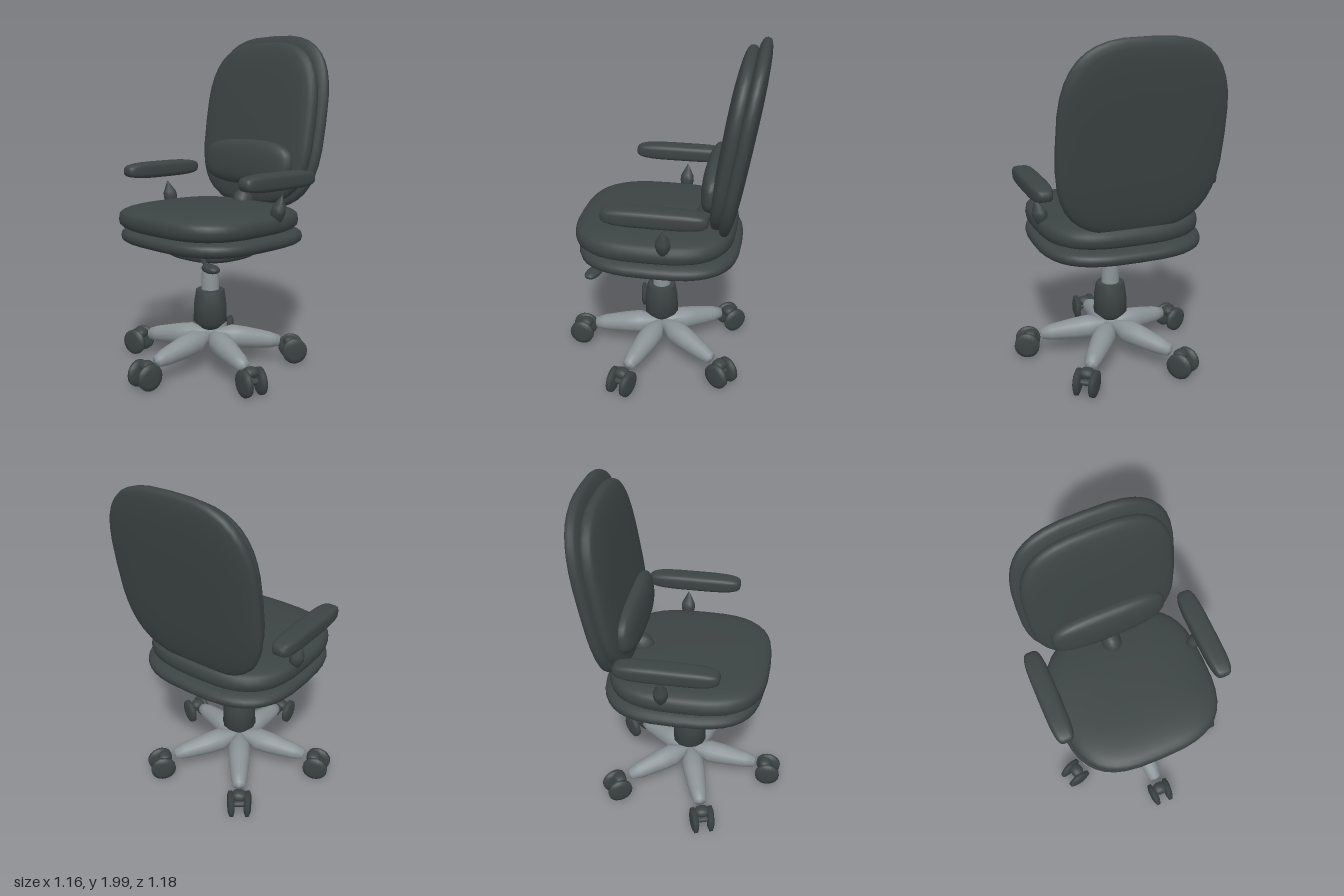
import * as THREE from 'three';
import { mergeVertices } from 'three/addons/utils/BufferGeometryUtils.js';

const dark = new THREE.MeshStandardMaterial({ name: 'charcoal', color: 0x3c4343 });
const grey = new THREE.MeshStandardMaterial({ name: 'metalGrey', color: 0x8a9296 });

const spow = (v, p) => Math.sign(v) * Math.abs(v) ** p;

// Rounded cushion: half sizes a, b (thickness along y), c; n shapes the outline, m the edge
function pillow(a, b, c, n = 3, m = 3.5, seg = 40, rings = 18) {
  let g = new THREE.SphereGeometry(1, seg, rings);
  const p = g.attributes.position;
  for (let i = 0; i < p.count; i++) {
    const y = p.getY(i);
    const r = Math.hypot(p.getX(i), p.getZ(i));
    const t = Math.atan2(p.getZ(i), p.getX(i));
    const rho = r < 1e-6 ? 0 : r ** (2 / m);
    p.setXYZ(i, a * rho * spow(Math.cos(t), 2 / n), b * spow(y, 2 / m), c * rho * spow(Math.sin(t), 2 / n));
  }
  g.deleteAttribute('normal');
  g.deleteAttribute('uv');
  g = mergeVertices(g, 1e-5);
  g.computeVertexNormals();
  return g;
}

const lathe = (pts, seg = 12) => new THREE.LatheGeometry(pts.map(([r, y]) => new THREE.Vector2(r, y)), seg);

function add(parent, name, geometry, material, x = 0, y = 0, z = 0) {
  const mesh = new THREE.Mesh(geometry, material);
  mesh.name = name;
  mesh.position.set(x, y, z);
  parent.add(mesh);
  return mesh;
}

function createCaster() {
  const caster = new THREE.Group();
  caster.name = 'caster';
  for (const s of [-1, 1]) {
    const wheel = lathe([[0, -0.02], [0.05, -0.02], [0.077, -0.01], [0.077, 0.01], [0.05, 0.02], [0, 0.02]], 18);
    wheel.rotateZ(Math.PI / 2);
    const mesh = add(caster, 'wheel', wheel, dark, s * 0.05, 0.08, 0);
    mesh.rotation.y = -s * 0.08;
  }
  const axle = new THREE.CylinderGeometry(0.018, 0.018, 0.1, 10).rotateZ(Math.PI / 2);
  add(caster, 'axle', axle, dark, 0, 0.08, 0);
  add(caster, 'casterHood', pillow(0.045, 0.03, 0.04, 2.5, 2.2, 14, 8), dark, 0, 0.13, -0.02);
  return caster;
}

export function createModel() {
  const chair = new THREE.Group();
  chair.name = 'officeChair';

  // Five-legged base with twin-wheel casters
  const legGeo = lathe([[0, 0], [0.03, 0.03], [0.07, 0.13], [0.066, 0.22], [0.05, 0.37], [0.035, 0.43], [0, 0.44]], 14);
  legGeo.rotateX(Math.PI / 2 + 0.15);
  for (let i = 0; i < 5; i++) {
    const spoke = new THREE.Group();
    spoke.name = 'baseSpoke';
    spoke.rotation.y = (i * Math.PI * 2) / 5;
    add(spoke, 'baseLeg', legGeo, grey, 0, 0.2, 0);
    const caster = createCaster();
    caster.position.z = 0.517;
    spoke.add(caster);
    chair.add(spoke);
  }

  // Gas column
  add(chair, 'columnSleeve', lathe([[0, 0.235], [0.05, 0.24], [0.104, 0.29], [0.1, 0.4], [0.088, 0.475], [0.08, 0.482], [0, 0.482]], 12), dark);
  add(chair, 'column', lathe([[0.055, 0.46], [0.05, 0.6], [0.042, 0.64], [0.027, 0.67], [0.025, 0.7]], 16), grey);

  // Mechanism under the seat, with its lever
  add(chair, 'mechanism', pillow(0.25, 0.05, 0.24, 2.6, 3), dark, 0, 0.725, -0.01);
  const rodCurve = new THREE.LineCurve3(new THREE.Vector3(0.12, 0.755, 0.22), new THREE.Vector3(0.32, 0.72, 0.33));
  add(chair, 'leverRod', new THREE.TubeGeometry(rodCurve, 1, 0.012, 8), dark);
  const knob = add(chair, 'leverKnob', pillow(0.068, 0.022, 0.04, 2.3, 2.5, 16, 10), dark, 0.345, 0.72, 0.335);
  knob.rotation.y = -0.3;

  // Seat
  add(chair, 'seatBase', pillow(0.485, 0.065, 0.472, 3, 3), dark, 0, 0.815, -0.01);
  add(chair, 'seatCushion', pillow(0.475, 0.085, 0.467, 3, 3.2), dark, 0, 0.918, 0.016);

  // Reclined back
  const backPad = (name, geo, y, z, tilt) => {
    geo.rotateX(Math.PI / 2);
    add(chair, name, geo, dark, 0, y, z).rotation.x = -tilt;
  };
  backPad('backShell', pillow(0.47, 0.054, 0.535, 3, 3.2), 1.47, -0.472, 0.165);
  backPad('backCushion', pillow(0.438, 0.06, 0.495, 3, 3.2), 1.465, -0.412, 0.15);
  backPad('lumbarPad', pillow(0.35, 0.068, 0.138, 2.8, 2.6), 1.228, -0.318, 0.1);
  add(chair, 'backBracket', pillow(0.062, 0.085, 0.075, 2, 2, 14, 10), dark, 0, 0.985, -0.285).rotation.x = -0.5;

  // Armrests, mirrored
  for (const s of [-1, 1]) {
    const post = lathe([[0, -0.09], [0.03, -0.07], [0.043, -0.01], [0.04, 0.02], [0, 0.095]], 10);
    const mesh = add(chair, 'armPost', post, dark, s * 0.455, 1, -0.085);
    mesh.rotation.z = -s * 0.27;
    add(chair, 'armPad', pillow(0.062, 0.05, 0.29, 4, 3.5, 40, 14), dark, s * 0.484, 1.17, -0.045);
  }
  return chair;
}
